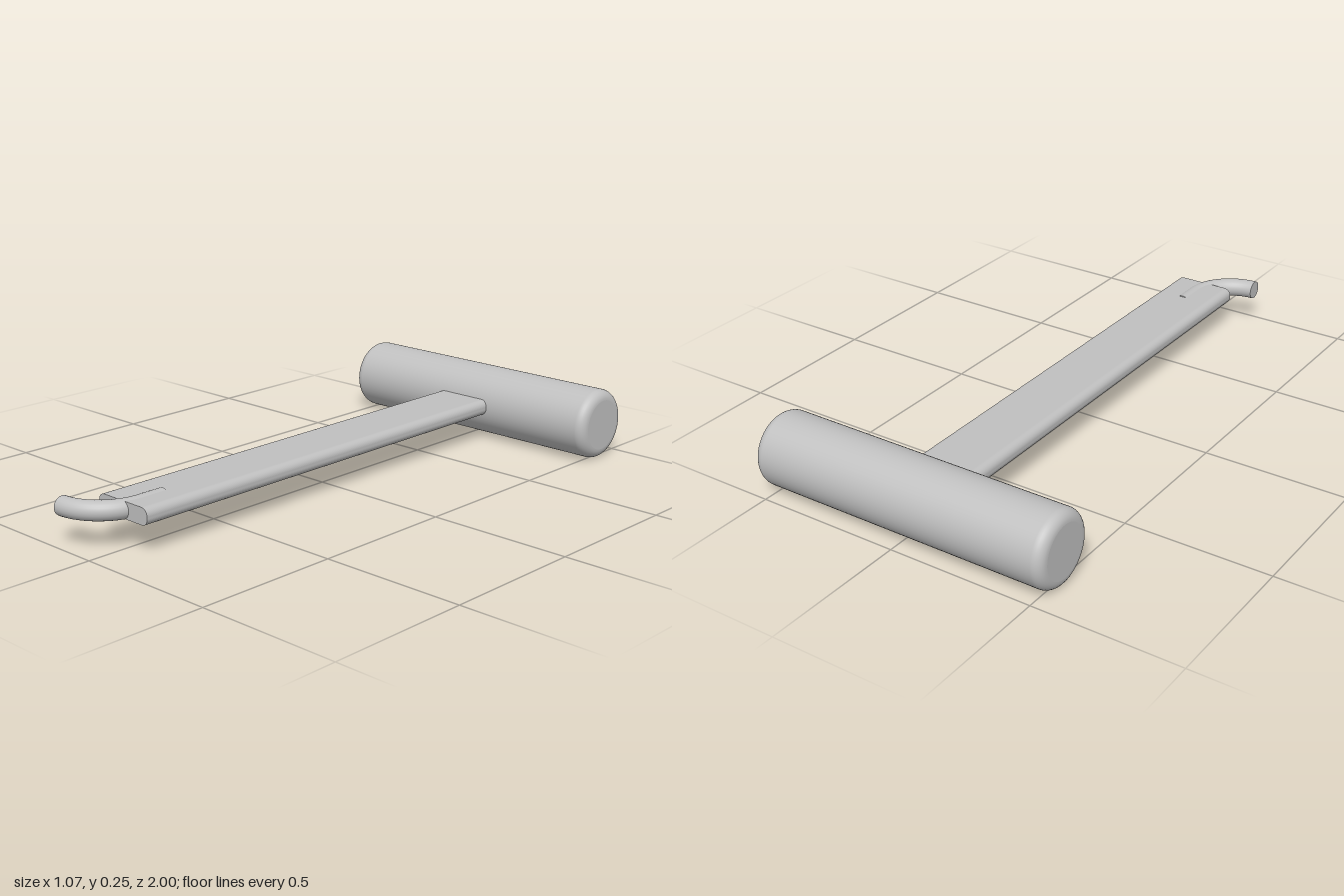
import * as THREE from 'three';

const steel = new THREE.MeshStandardMaterial({ color: 0xc0c0c0 });
steel.name = 'plain grey';

function add(group, geometry, name) {
  const mesh = new THREE.Mesh(geometry, steel);
  mesh.name = name;
  group.add(mesh);
  return mesh;
}

// Solid cylinder along y with rounded rims
function roundedBar(radius, half, fillet) {
  const pts = [];
  for (let i = 0; i <= 8; i++) {
    const a = -Math.PI / 2 + (i / 8) * Math.PI / 2;
    pts.push(new THREE.Vector2(radius - fillet + fillet * Math.cos(a), -half + fillet + fillet * Math.sin(a)));
  }
  const upper = pts.map((p) => new THREE.Vector2(p.x, -p.y)).reverse();
  return new THREE.LatheGeometry([...pts, ...upper], 64);
}

export function createModel() {
  const model = new THREE.Group();
  model.name = 'hookedPuller';

  // Crosswise grip with flat end discs
  const R = 0.124, HALF = 0.536, FILLET = 0.035;
  const handle = new THREE.Group();
  handle.name = 'handle';
  handle.position.set(0, R, -1 + R);
  handle.rotation.z = -Math.PI / 2;
  add(handle, roundedBar(R, HALF, FILLET), 'grip');
  for (const s of [-1, 1]) {
    const cap = add(handle, new THREE.CircleGeometry(R - FILLET, 64), 'gripEnd');
    cap.rotation.x = -s * Math.PI / 2;
    cap.position.y = s * HALF;
  }
  model.add(handle);

  // Long flat shank with rounded side edges
  const w = 0.112, h = 0.0285, r = 0.025, Y = 0.1265;
  const section = new THREE.Shape();
  section.moveTo(-w + r, -h);
  section.lineTo(w - r, -h);
  section.absarc(w - r, -h + r, r, -Math.PI / 2, 0);
  section.absarc(w - r, h - r, r, 0, Math.PI / 2);
  section.absarc(-w + r, h - r, r, Math.PI / 2, Math.PI);
  section.absarc(-w + r, -h + r, r, Math.PI, Math.PI * 1.5);
  const back = -0.86, front = 0.865;
  const shank = add(model, new THREE.ExtrudeGeometry(section, { depth: front - back, bevelEnabled: false, curveSegments: 10 }), 'shank');
  shank.position.set(0, Y, back);

  // Bent round hook, let into the shank
  const t = 0.0325, bend = 0.165, tipX = -0.16, tipZ = 1 - t;
  const path = new THREE.CurvePath();
  const rootX = tipX + bend, bendZ = tipZ - bend;
  const k = bend * 0.5523;
  path.add(new THREE.LineCurve3(new THREE.Vector3(rootX, Y, 0.71), new THREE.Vector3(rootX, Y, bendZ)));
  path.add(new THREE.CubicBezierCurve3(
    new THREE.Vector3(rootX, Y, bendZ), new THREE.Vector3(rootX, Y, bendZ + k),
    new THREE.Vector3(tipX + k, Y, tipZ), new THREE.Vector3(tipX, Y, tipZ)));
  add(model, new THREE.TubeGeometry(path, 48, t, 24), 'hook');

  // Flat ends of the hook
  const tip = add(model, new THREE.CircleGeometry(t, 24), 'hookTip');
  tip.position.set(tipX, Y, tipZ);
  tip.rotation.y = -Math.PI / 2;
  const root = add(model, new THREE.CircleGeometry(t, 24), 'hookRoot');
  root.position.set(rootX, Y, 0.71);
  root.rotation.y = Math.PI;

  return model;
}
